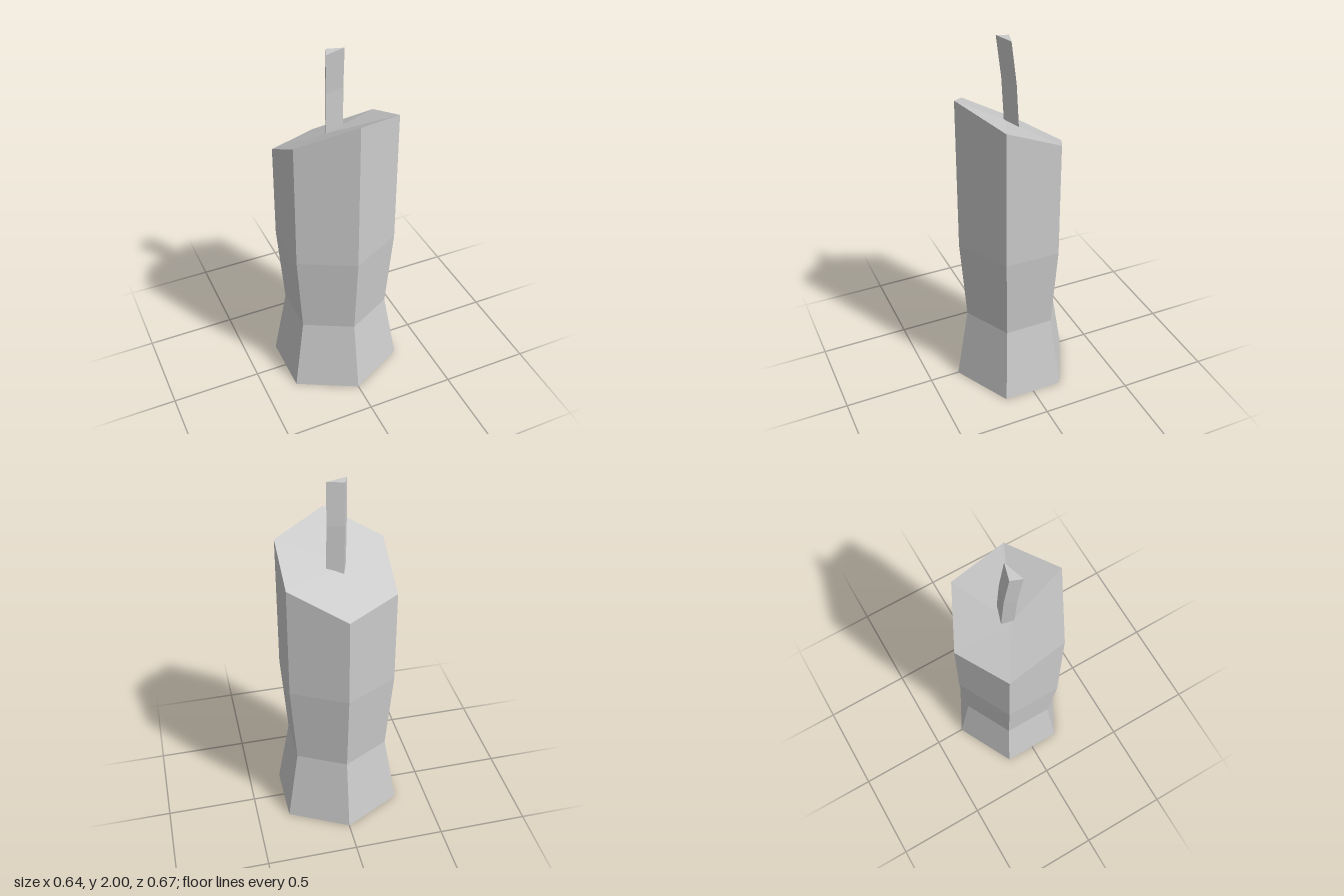
import * as THREE from 'three';

const material = new THREE.MeshStandardMaterial({ color: 0xcccccc });
material.name = 'wax grey';

// Closed faceted solid through rings of [x, y, z] points (counter-clockwise seen from above).
function loft(name, rings, bottomCentre, topCentre) {
  const pos = [];
  const tri = (a, b, c) => pos.push(...a, ...b, ...c);
  const n = rings[0].length;
  const last = rings[rings.length - 1];
  for (let i = 0; i < n; i++) {
    const j = (i + 1) % n;
    for (let r = 0; r < rings.length - 1; r++) {
      const lo = rings[r], hi = rings[r + 1];
      tri(lo[i], lo[j], hi[j]);
      tri(lo[i], hi[j], hi[i]);
    }
    tri(bottomCentre, rings[0][j], rings[0][i]);
    tri(topCentre, last[i], last[j]);
  }
  const geometry = new THREE.BufferGeometry();
  geometry.setAttribute('position', new THREE.Float32BufferAttribute(pos, 3));
  geometry.computeVertexNormals();
  const mesh = new THREE.Mesh(geometry, material);
  mesh.name = name;
  return mesh;
}

// Six-sided ring, corner first at the front; heights holds one y per corner.
function hexRing(halfWidth, halfDepth, heights) {
  return heights.map((y, i) => {
    const a = (i * Math.PI) / 3;
    return [(Math.sin(a) / Math.sin(Math.PI / 3)) * halfWidth, y, Math.cos(a) * halfDepth];
  });
}

export function createModel() {
  const group = new THREE.Group();
  group.name = 'candle';

  // Waisted body with an unevenly melted, sloping top
  const level = (y) => Array(6).fill(y);
  group.add(loft('candleBody', [
    hexRing(0.32, 0.333, level(0)),
    hexRing(0.254, 0.264, level(0.42)),
    hexRing(0.287, 0.299, level(0.89)),
    hexRing(0.285, 0.297, [1.73, 1.65, 1.525, 1.39, 1.427, 1.6]),
  ], [0, 0, 0], [-0.05, 1.545, 0]));

  // Three-sided wick, bending forward as it rises
  const section = [[-0.065, 0.047], [0.045, 0.013], [-0.042, -0.012]];
  const wickRings = [[0.012, 1.52, -0.037], [0.006, 1.78, -0.025], [0, 2, 0]]
    .map(([dx, y, dz]) => section.map(([x, z]) => [x + dx, y, z + dz]));
  group.add(loft('wick', wickRings, [-0.009, 1.52, -0.021], [-0.021, 2, 0.016]));

  return group;
}
